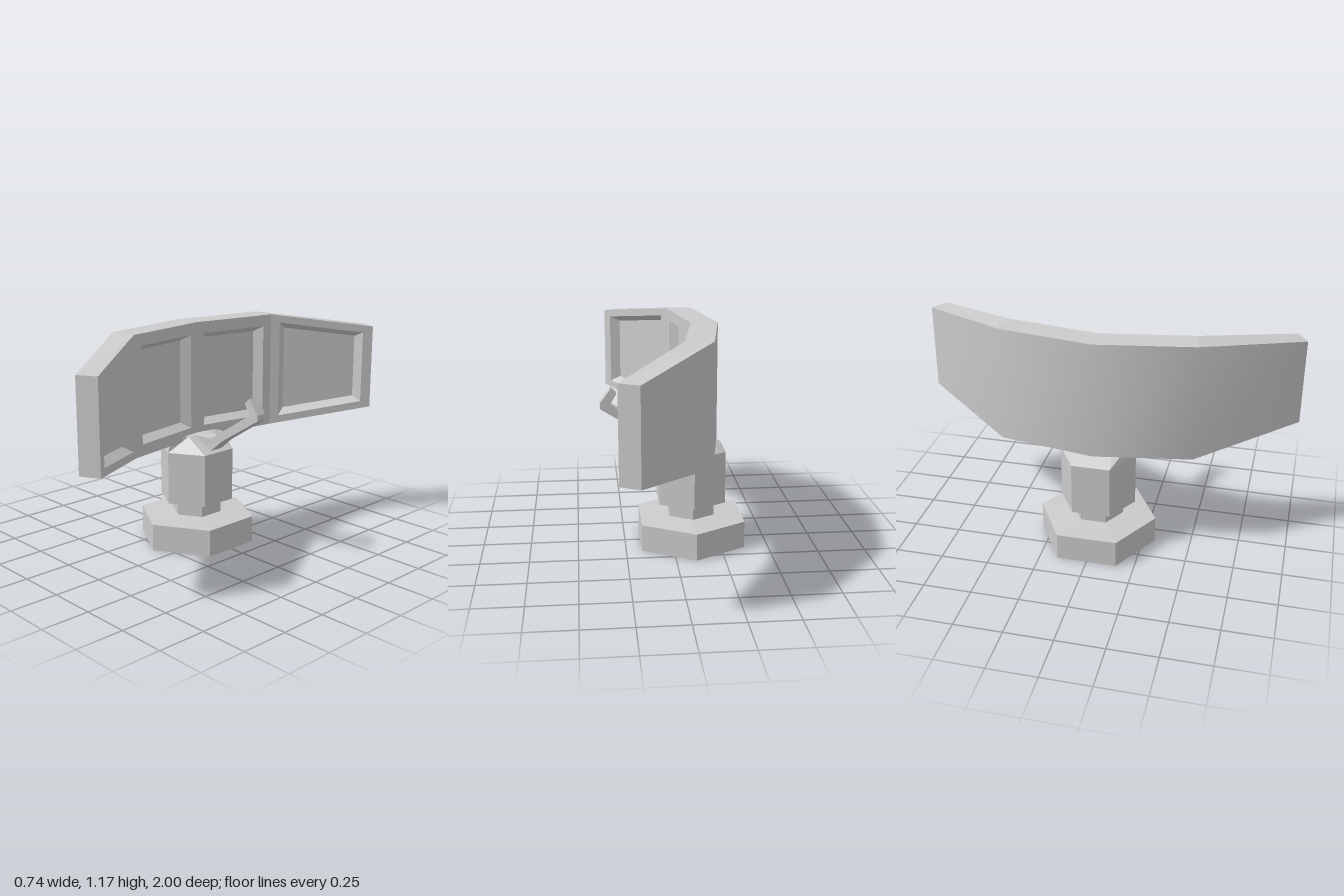
import * as THREE from 'three';

const CX = -0.103; // pedestal axis
const material = new THREE.MeshStandardMaterial({ color: 0xcccccc, flatShading: true });
const smooth = new THREE.MeshStandardMaterial({ color: 0xcccccc });

function addMesh(parent, name, geometry, mat = material) {
  const mesh = new THREE.Mesh(geometry, mat);
  mesh.name = name;
  parent.add(mesh);
  return mesh;
}

// Hexagonal frustum standing on y0
function hex(parent, name, rBottom, rTop, y0, y1) {
  const geo = new THREE.CylinderGeometry(rTop, rBottom, y1 - y0, 6);
  geo.translate(CX, (y0 + y1) / 2, 0);
  return addMesh(parent, name, geo);
}

function geometryFrom(positions, index) {
  const geo = new THREE.BufferGeometry();
  geo.setAttribute('position', new THREE.Float32BufferAttribute(positions, 3));
  if (index) geo.setIndex(index);
  geo.computeVertexNormals();
  return geo;
}

// Plan stations of half the reflector: outer x/z, inner x/z, bottom and top
const stations = [
  { ox: -0.24, oz: 0, ix: -0.1, iz: 0, lo: 0.56, hi: 1.175 },
  { ox: -0.155, oz: 0.5, ix: -0.02, iz: 0.48, lo: 0.56, hi: 1.175 },
  { ox: 0.22, oz: 1, ix: 0.313, iz: 0.95, lo: 0.64, hi: 1.095 },
];
// Recess openings: near and far z, with the frame margin
const openings = [
  { z0: 0.045, z1: 0.43, margin: 0.06 },
  { z0: 0.52, z1: 0.905, margin: 0.04 },
];

// Front, rim and ends of one half of the reflector; s mirrors in z
function reflectorHalf(s) {
  const pos = [];
  const quad = (a, b, c, d) => {
    const q = s > 0 ? [a, b, c, d] : [d, c, b, a];
    for (const k of [0, 1, 2, 0, 2, 3]) pos.push(q[k][0], q[k][1], q[k][2] * s);
  };
  const ring = (a, b) => {
    for (let k = 0; k < 4; k++) quad(a[k], a[(k + 1) % 4], b[(k + 1) % 4], b[k]);
  };
  openings.forEach((o, i) => {
    const p = stations[i], q = stations[i + 1];
    const dx = q.ix - p.ix, dz = q.iz - p.iz, len = Math.hypot(dx, dz);
    const at = (z, top, m) => {
      const t = (z - p.iz) / dz;
      const y = top ? p.hi + (q.hi - p.hi) * t - m : p.lo + (q.lo - p.lo) * t + m;
      return [p.ix + dx * t, y, z];
    };
    const corners = (z0, z1, m) => [at(z1, 0, m), at(z0, 0, m), at(z0, 1, m), at(z1, 1, m)];
    const inset = 0.035 * dz / len, depth = 0.045;
    const opening = corners(o.z0, o.z1, o.margin);
    const floor = corners(o.z0 + inset, o.z1 - inset, o.margin + 0.03)
      .map(([x, y, z]) => [x - depth * dz / len, y, z + depth * dx / len]);
    ring(corners(p.iz, q.iz, 0), opening);
    ring(opening, floor);
    quad(...floor);
    // top and bottom rims
    quad([q.ox, q.hi, q.oz], [q.ix, q.hi, q.iz], [p.ix, p.hi, p.iz], [p.ox, p.hi, p.oz]);
    quad([p.ox, p.lo, p.oz], [p.ix, p.lo, p.iz], [q.ix, q.lo, q.iz], [q.ox, q.lo, q.oz]);
  });
  const e = stations[2];
  quad([e.ox, e.lo, e.oz], [e.ix, e.lo, e.iz], [e.ix, e.hi, e.iz], [e.ox, e.hi, e.oz]);
  return geometryFrom(pos);
}

// Smooth convex back of the reflector
function reflectorBack() {
  const pos = [], index = [];
  for (let i = -2; i <= 2; i++) {
    const p = stations[Math.abs(i)], z = p.oz * Math.sign(i);
    pos.push(p.ox, p.lo, z, p.ox, p.hi, z);
  }
  for (let i = 0; i < 8; i += 2) index.push(i, i + 2, i + 3, i, i + 3, i + 1);
  return geometryFrom(pos, index);
}

// Feed arm with a hooked tip, narrowing outwards
function feedArm() {
  const outline = [
    [-0.1, 0.5], [0.045, 0.52], [0.13, 0.59], [0.37, 0.74], [0.37, 0.77],
    [0.315, 0.845], [0.285, 0.818], [0.318, 0.762], [0.05, 0.59], [-0.1, 0.585],
  ];
  const shape = new THREE.Shape(outline.map(([x, y]) => new THREE.Vector2(x, y)));
  const geo = new THREE.ExtrudeGeometry(shape, { depth: 2, bevelEnabled: false });
  geo.translate(0, 0, -1);
  const p = geo.attributes.position;
  for (let i = 0; i < p.count; i++) {
    p.setZ(i, p.getZ(i) * (0.042 - 0.03 * Math.max(0, p.getX(i) + 0.05) / 0.9));
  }
  geo.computeVertexNormals();
  return geo;
}

export function createModel() {
  const model = new THREE.Group();
  model.name = 'radarDish';

  // Pedestal
  const pedestal = new THREE.Group();
  pedestal.name = 'pedestal';
  model.add(pedestal);
  hex(pedestal, 'base', 0.312, 0.312, 0, 0.143);
  hex(pedestal, 'baseTop', 0.312, 0.13, 0.143, 0.155);
  hex(pedestal, 'neck', 0.135, 0.135, 0.15, 0.225);
  hex(pedestal, 'columnUnderside', 0.135, 0.2, 0.221, 0.233);
  hex(pedestal, 'column', 0.2, 0.2, 0.233, 0.512);

  // Roof-like cap: narrow in x, nearly full width in z at the top
  const cap = hex(pedestal, 'columnCap', 0.2, 0.2, 0.512, 0.585);
  const p = cap.geometry.attributes.position;
  for (let i = 0; i < p.count; i++) {
    if (p.getY(i) > 0.55) {
      p.setX(i, CX + (p.getX(i) - CX) * 0.2);
      p.setZ(i, p.getZ(i) * 0.87);
    }
  }
  cap.geometry.computeVertexNormals();

  // Reflector
  const reflector = new THREE.Group();
  reflector.name = 'reflector';
  model.add(reflector);
  addMesh(reflector, 'reflectorLeftHalf', reflectorHalf(1));
  addMesh(reflector, 'reflectorRightHalf', reflectorHalf(-1));
  addMesh(reflector, 'reflectorBack', reflectorBack(), smooth);

  addMesh(model, 'feedArm', feedArm());
  return model;
}
